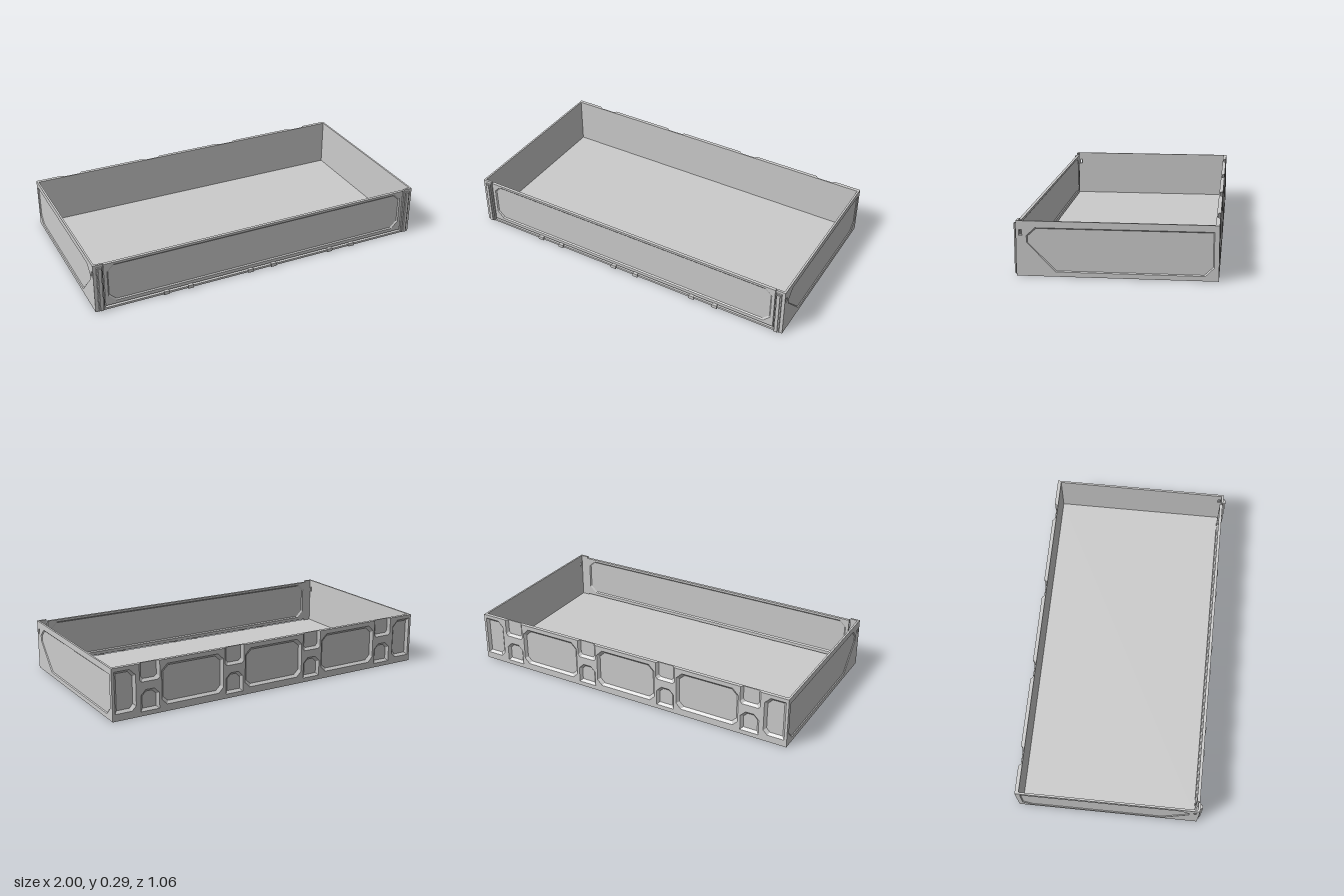
import * as THREE from 'three';

const H = 0.293, W = 1, ZF = 0.515, ZB = -0.53;
const mat = new THREE.MeshStandardMaterial({ color: 0xcccccc, flatShading: true, side: THREE.DoubleSide });

const toVec = pts => pts.map(([x, y]) => new THREE.Vector2(x, y));
const wind = (pts, clockwise) =>
  THREE.ShapeUtils.isClockWise(toVec(pts)) === clockwise ? pts : [...pts].reverse();

// Rectangle with cut corners, in order: bottom left, bottom right, top right, top left
function chamfered(x0, y0, x1, y1, [bl, br, tr, tl]) {
  const pts = [[x0 + bl, y0], [x1 - br, y0], [x1, y0 + br], [x1, y1 - tr], [x1 - tr, y1], [x0 + tl, y1], [x0, y1 - tl], [x0, y0 + bl]];
  return pts.filter((p, i) => {
    const q = pts[(i + 1) % 8];
    return Math.hypot(p[0] - q[0], p[1] - q[1]) > 1e-6;
  });
}

// Shrinks an outline towards the middle of its bounds
function inset(pts, d) {
  const mid = [0, 1].map(k => {
    const v = pts.map(p => p[k]), lo = Math.min(...v), hi = Math.max(...v);
    return [(lo + hi) / 2, 1 - 2 * d / (hi - lo)];
  });
  return pts.map(p => p.map((v, k) => mid[k][0] + (v - mid[k][0]) * mid[k][1]));
}

// Raised plate facing +z with sloped pockets; its base lies on z = 0
function relief(outline, base, holes, depth, slope) {
  const shape = new THREE.Shape(toVec(outline));
  holes.forEach(h => shape.holes.push(new THREE.Path(toVec(h))));
  const face = new THREE.ShapeGeometry(shape).toNonIndexed();
  const pos = [...face.attributes.position.array];
  for (let i = 2; i < pos.length; i += 3) pos[i] = depth;
  const strip = (top, low) => top.forEach((a, i) => {
    const j = (i + 1) % top.length, b = top[j], c = low[i], d = low[j];
    pos.push(...c, 0, ...d, 0, ...b, depth, ...c, 0, ...b, depth, ...a, depth);
  });
  strip(outline, base);
  holes.forEach(h => {
    const w = wind(h, true);
    strip(w, inset(w, slope));
  });
  const g = new THREE.BufferGeometry();
  g.setAttribute('position', new THREE.Float32BufferAttribute(pos, 3));
  g.computeVertexNormals();
  return g;
}

export function createModel() {
  const root = new THREE.Group();
  const add = (name, geo, parent = root) => {
    const m = new THREE.Mesh(geo, mat);
    m.name = name;
    parent.add(m);
    return m;
  };
  // Box given by its limits on each axis
  const box = (name, x0, x1, y0, y1, z0, z1) => {
    const m = add(name, new THREE.BoxGeometry(x1 - x0, y1 - y0, z1 - z0));
    m.position.set((x0 + x1) / 2, (y0 + y1) / 2, (z0 + z1) / 2);
    return m;
  };

  box('floor', -0.995, 0.995, 0, 0.012, -0.516, ZF);

  // Side walls: thin sheet plus a raised skin with a many-sided pocket and a latch slot
  for (const s of [1, -1]) {
    const side = new THREE.Group();
    side.name = s > 0 ? 'leftSide' : 'rightSide';
    const local = pts => wind(pts.map(([z, y]) => [-s * z, y]), false);
    const outline = local([[ZF, 0], [-0.516, 0], [-0.516, H], [ZF, H]]);
    const slot = local(chamfered(0.483, 0.215, 0.5, 0.246, [0, 0, 0, 0]));
    const panel = local([[0.46, 0.215], [0.415, 0.258], [-0.505, 0.258], [-0.505, 0.07], [-0.46, 0.025], [0.31, 0.025], [0.46, 0.18]]);
    const sheet = new THREE.Shape(toVec(outline));
    sheet.holes.push(new THREE.Path(toVec(slot)));
    add('sideSheet', new THREE.ExtrudeGeometry(sheet, { depth: 0.006, bevelEnabled: false }), side).position.z = 0.989;
    add('sideSkin', relief(outline, outline, [panel, slot], 0.005, 0.005), side).position.z = 0.995;
    side.rotation.y = s * Math.PI / 2;
    root.add(side);
  }

  // Back wall: ribbed frame with open notches along the top edge
  box('backSheet', -W, W, 0, H, -0.516, -0.509);
  const backOutline = taper => {
    const pts = [[-W, 0], [W, 0], [W, H]];
    for (const c of [0.78, 0.26, -0.26, -0.78]) {
      const w = 0.06 - taper, y = 0.19 + taper;
      pts.push([c + w, H], [c + w, y + 0.012], [c + w - 0.012, y], [c - w + 0.012, y], [c - w, y + 0.012], [c - w, H]);
    }
    pts.push([-W, H]);
    return pts;
  };
  const pockets = [
    chamfered(0.862, 0.04, 0.985, 0.272, [0.025, 0, 0, 0.035]),
    chamfered(-0.985, 0.04, -0.862, 0.272, [0, 0.025, 0.035, 0]),
  ];
  for (const c of [-0.52, 0, 0.52]) pockets.push(chamfered(c - 0.19, 0.04, c + 0.19, 0.268, [0.03, 0.03, 0.035, 0.035]));
  for (const c of [-0.78, -0.26, 0.26, 0.78]) pockets.push(chamfered(c - 0.055, 0.025, c + 0.055, 0.145, [0, 0, 0.03, 0.03]));
  const back = add('backFrame', relief(backOutline(0), backOutline(0.014), pockets, 0.014, 0.014));
  back.rotation.y = Math.PI;
  back.position.z = ZB + 0.014;

  // Tailgate: core sheet with a recessed panel on both faces
  box('tailgateCore', -0.94, 0.94, 0.022, 0.285, 0.501, 0.506);
  const gate = chamfered(-0.94, 0.022, 0.94, 0.285, [0, 0, 0, 0]);
  const gatePanel = chamfered(-0.922, 0.042, 0.922, 0.272, [0.04, 0.04, 0.035, 0.035]);
  const skin = relief(gate, gate, [gatePanel], 0.006, 0.007);
  add('tailgateOuterSkin', skin).position.z = 0.506;
  const inner = add('tailgateInnerSkin', skin);
  inner.rotation.y = Math.PI;
  inner.position.z = 0.501;

  // Corner posts with raised guide strips and latch knobs
  for (const s of [1, -1]) {
    const range = (a, b) => (s > 0 ? [a, b] : [-b, -a]);
    box('cornerPost', ...range(0.945, 0.999), 0, H, 0.503, ZF);
    box('guideStrip', ...range(0.95, 0.982), 0.005, 0.277, ZF, 0.523);
    box('guideLip', ...range(0.957, 0.975), 0.008, 0.274, 0.523, 0.53);
  }

  // Hinges along the bottom of the tailgate, flared towards the front
  const flare = new THREE.Shape(toVec([[-0.011, 0.51], [0.011, 0.51], [0.017, 0.526], [0.017, 0.53], [-0.017, 0.53], [-0.017, 0.526]]));
  const hingeGeo = new THREE.ExtrudeGeometry(flare, { depth: 0.02, bevelEnabled: false });
  hingeGeo.rotateX(Math.PI / 2);
  for (const x of [-0.592, -0.448, -0.075, 0.072, 0.443, 0.59]) {
    add('hinge', hingeGeo).position.set(x, 0.025, 0);
  }
  return root;
}
